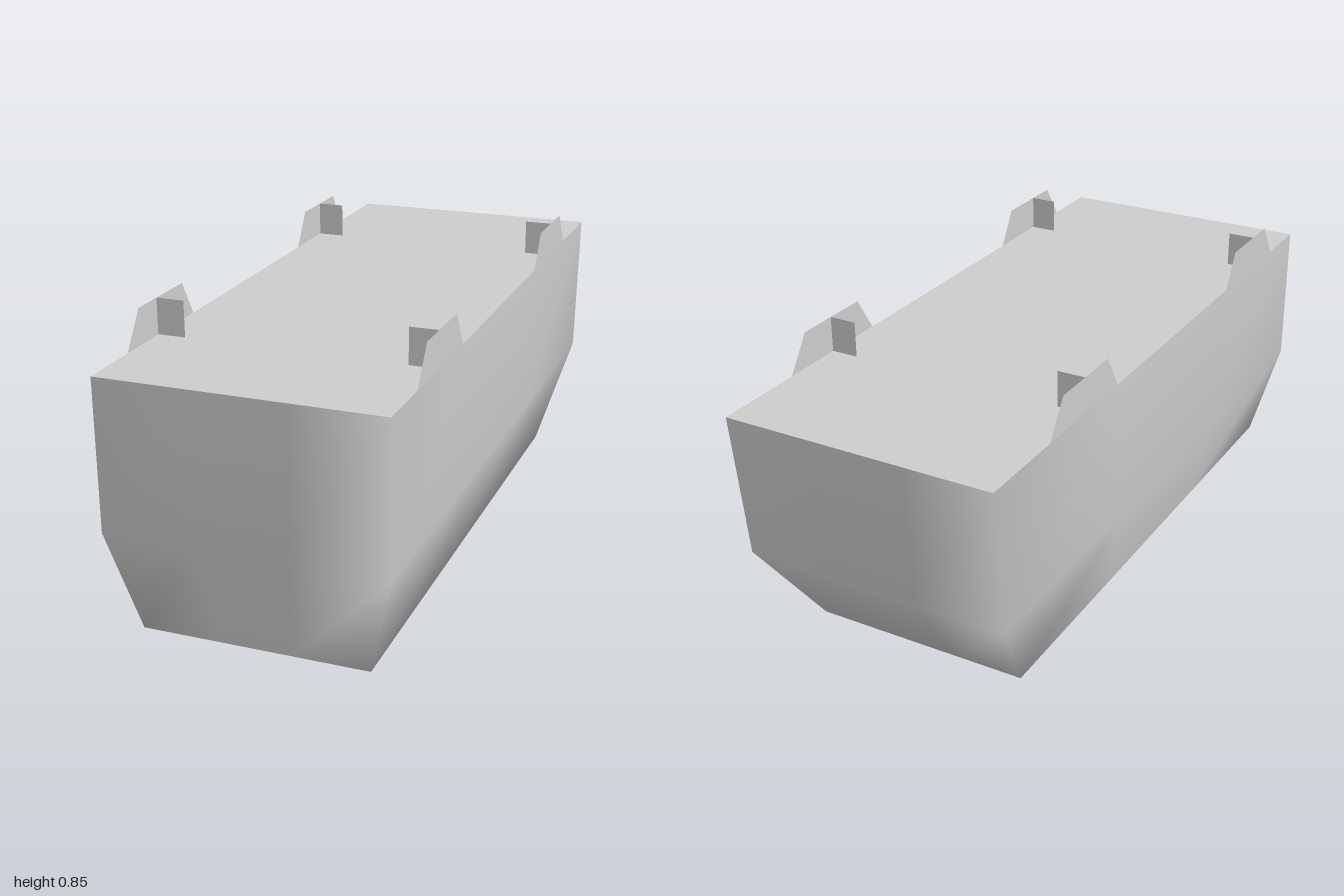
import * as THREE from 'three';

const grey = new THREE.MeshStandardMaterial({ color: 0xcccccc, side: THREE.DoubleSide });
grey.name = 'plain grey';

// A rectangular ring of 12 points, each side split in three, counter-clockwise from above.
function ring(y, halfX, front, back) {
  const corners = [[-halfX, front], [halfX, front], [halfX, back], [-halfX, back]];
  const points = [];
  corners.forEach(([x, z], i) => {
    const [nx, nz] = corners[(i + 1) % 4];
    for (let k = 0; k < 3; k++) points.push([x + (nx - x) * k / 3, y, z + (nz - z) * k / 3]);
  });
  return points;
}

function makeGeometry(points, index) {
  const geometry = new THREE.BufferGeometry();
  geometry.setAttribute('position', new THREE.Float32BufferAttribute(points.flat(), 3));
  geometry.setIndex(index);
  geometry.computeVertexNormals();
  return geometry;
}

// Hull: three rings joined with smooth normals and closed underneath.
function hullGeometry() {
  const rings = [ring(0, 0.33, 0.94, -0.75), ring(0.3, 0.405, 1, -0.955), ring(0.74, 0.405, 1, -1)];
  const index = [];
  for (let r = 0; r < 2; r++) {
    for (let i = 0; i < 12; i++) {
      const a = r * 12 + i, b = r * 12 + (i + 1) % 12;
      index.push(a, b, b + 12, a, b + 12, a + 12);
    }
  }
  for (let i = 1; i < 11; i++) index.push(0, i + 1, i);
  return makeGeometry(rings.flat(), index);
}

export function createModel() {
  const model = new THREE.Group();
  model.name = 'bargeHull';
  const add = (name, geometry) => {
    const mesh = new THREE.Mesh(geometry, grey);
    mesh.name = name;
    model.add(mesh);
    return mesh;
  };

  add('hull', hullGeometry());

  // Flat deck with its own normals
  const deck = add('deck', new THREE.PlaneGeometry(0.81, 2).rotateX(-Math.PI / 2));
  deck.position.y = 0.74;

  // Thin upright bulwarks on both edges, each braced by a fin pointing inwards
  const bulwarks = [
    { name: 'front', base: [0.81, 0.43], top: [0.74, 0.49], fin: 0.64 },
    { name: 'rear', base: [-0.335, -0.72], top: [-0.4, -0.65], fin: -0.53 },
  ];
  for (const { name, base, top, fin } of bulwarks) {
    for (const side of [1, -1]) {
      const label = name + (side > 0 ? 'Left' : 'Right');
      const x = side * 0.405;
      const corners = [[x, 0.74, base[0]], [x, 0.74, base[1]], [x, 0.845, top[1]], [x, 0.845, top[0]]];
      add(label + 'Bulwark', makeGeometry(corners, side > 0 ? [0, 1, 2, 0, 2, 3] : [0, 2, 1, 0, 3, 2]));
      const brace = add(label + 'Brace', new THREE.PlaneGeometry(0.082, 0.105));
      brace.position.set(side * 0.364, 0.7925, fin);
    }
  }
  return model;
}
